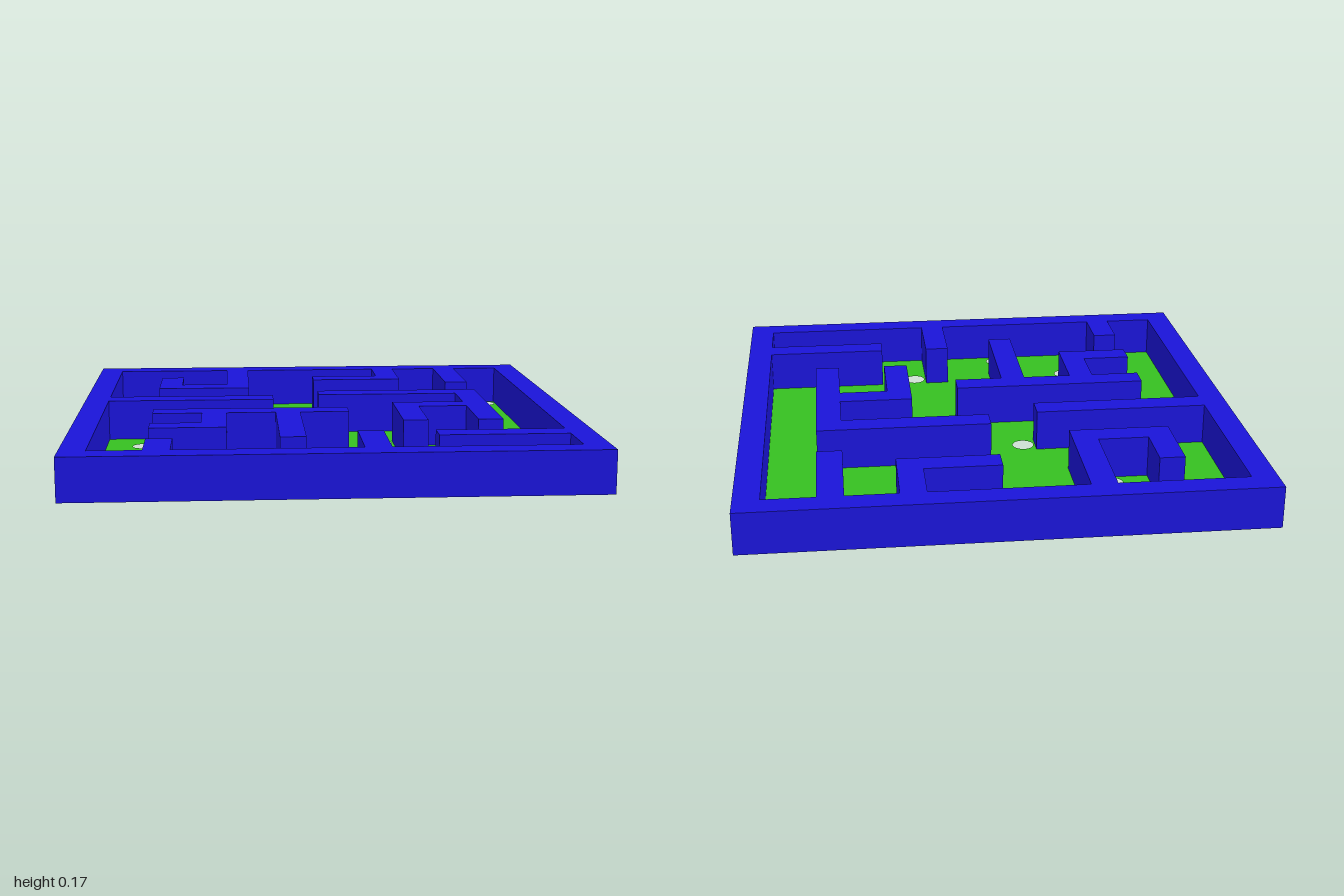
import * as THREE from 'three';

const CELL = 0.1;      // maze grid unit
const HEIGHT = 0.166;  // wall height
const HOLE = 0.043;    // ball hole radius

// Outlines in grid units [x, z], clockwise seen from above
const outer = [[-10, -10], [10, -10], [10, 10], [-10, 10]];

// Inner edge of the frame, including every wall that grows out of it
const floorEdge = [
  [-9, -9], [-4, -9], [-4, -5], [-6, -5], [-6, -7], [-7, -7], [-7, -4], [-3, -4], [-3, -9],
  [3, -9], [3, -7], [0, -7], [0, -6], [4, -6], [4, -9],
  [6, -9], [6, -5], [7, -5], [7, -9], [9, -9],
  [9, 6], [4, 6], [4, 7], [9, 7], [9, 9],
  [2, 9], [2, 6], [1, 6], [1, 9],
  [-6, 9], [-6, 7], [-7, 7], [-7, 9], [-9, 9],
  [-9, -1], [-2, -1], [-2, -2], [-9, -2],
];

// Free-standing walls
const hookWall = [
  [0, -3], [7, -3], [7, 4], [6, 4], [6, 1], [4, 1], [4, 4], [3, 4], [3, 0], [6, 0], [6, -2], [0, -2],
];
const branchWall = [
  [-7, 1], [1, 1], [1, 2], [-1, 2], [-1, 7], [-2, 7], [-2, 2],
  [-4, 2], [-4, 5], [-7, 5], [-7, 4], [-5, 4], [-5, 2], [-7, 2],
];

// Ball hole centres
const holes = [
  [-5.5, -7.5], [-4.5, -5.5], [2.5, -7.5], [8.5, -8.5], [1.5, -4.5], [6.5, -4.5],
  [-1.5, -1.5], [5.5, -1.5], [-7.5, 0.5], [2.5, 0.5], [-3.5, 2.5], [-4.5, 6.5],
  [2.5, 6.5], [-1.5, 8.5], [5.5, 8.5], [8.5, 7.5],
];

const toPoints = (outline) => outline.map(([x, z]) => new THREE.Vector2(x * CELL, -z * CELL));

// Flat horizontal sheet with cut-outs
function sheet(outline, cutouts, y) {
  const shape = new THREE.Shape(toPoints(outline));
  shape.holes.push(...cutouts);
  return new THREE.ShapeGeometry(shape, 32).rotateX(-Math.PI / 2).translate(0, y, 0);
}

// Vertical band following a closed outline, facing outward
function band(outline) {
  const positions = [];
  outline.forEach(([ax, az], i) => {
    const [bx, bz] = outline[(i + 1) % outline.length];
    const a = [ax * CELL, az * CELL], b = [bx * CELL, bz * CELL];
    const corners = [[b, 0], [a, 0], [a, HEIGHT], [b, HEIGHT]];
    for (const k of [0, 1, 2, 0, 2, 3]) {
      const [p, y] = corners[k];
      positions.push(p[0], y, p[1]);
    }
  });
  const geometry = new THREE.BufferGeometry();
  geometry.setAttribute('position', new THREE.Float32BufferAttribute(positions, 3));
  geometry.computeVertexNormals();
  return geometry;
}

export function createModel() {
  const model = new THREE.Group();
  model.name = 'ballMaze';
  const blue = new THREE.MeshStandardMaterial({ color: 0x1a14d8, side: THREE.DoubleSide });
  const green = new THREE.MeshStandardMaterial({ color: 0x36c020, side: THREE.DoubleSide });

  const part = (name, material, geometries) => {
    const group = new THREE.Group();
    group.name = name;
    geometries.forEach((geometry) => {
      const mesh = new THREE.Mesh(geometry, material);
      mesh.name = name;
      group.add(mesh);
    });
    model.add(group);
  };

  // Frame with attached walls: hollow shell, open underneath
  part('frame', blue, [
    sheet(outer, [new THREE.Path(toPoints(floorEdge))], HEIGHT),
    band(outer),
    band([...floorEdge].reverse()),
  ]);

  // Free-standing walls, built the same way
  part('hookWall', blue, [sheet(hookWall, [], HEIGHT), band(hookWall)]);
  part('branchWall', blue, [sheet(branchWall, [], HEIGHT), band(branchWall)]);

  // Floor: leaves out the wall footprints and the ball holes
  const ballHoles = holes.map(([x, z]) =>
    new THREE.Path().absarc(x * CELL, -z * CELL, HOLE, 0, Math.PI * 2, true));
  const wallCutouts = [hookWall, branchWall].map((w) => new THREE.Path(toPoints(w)));
  part('floor', green, [sheet(floorEdge, [...wallCutouts, ...ballHoles], 0)]);

  return model;
}
